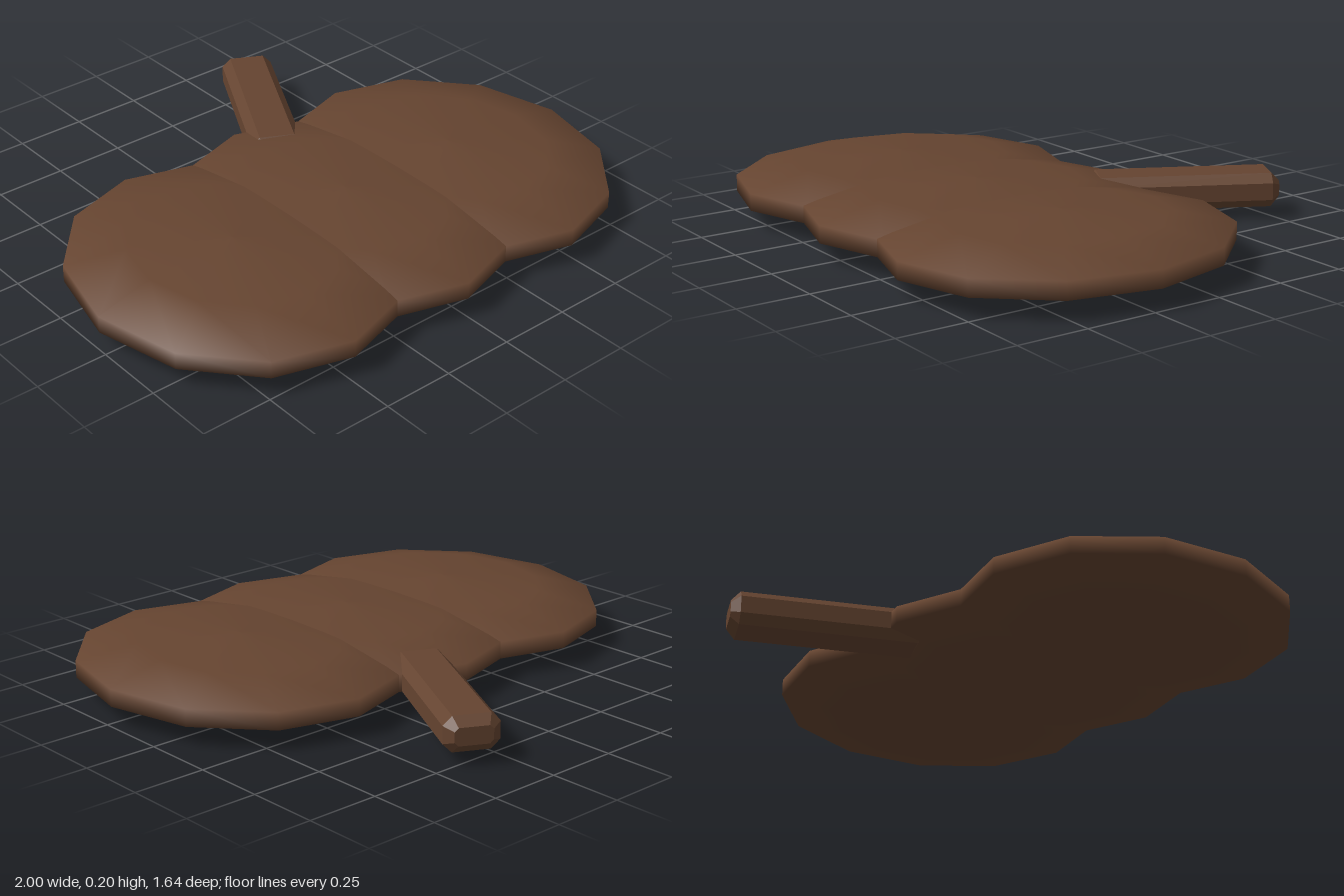
import * as THREE from 'three';

export function createModel() {
  const group = new THREE.Group();
  const brown = new THREE.MeshStandardMaterial({ color: 0x654430 });
  brown.name = 'brown';
  const midY = 0.1;

  // Three overlapping lens-shaped lobes, twelve-sided and smooth
  const profile = [
    [0, -0.1], [0.625, -0.08], [1, -0.03],
    [1, 0.03], [0.625, 0.08], [0, 0.1],
  ].map(([r, y]) => new THREE.Vector2(r, y));
  const lobeGeometry = new THREE.LatheGeometry(profile, 12);
  ['rightLobe', 'middleLobe', 'leftLobe'].forEach((name, i) => {
    const lobe = new THREE.Mesh(lobeGeometry, brown);
    lobe.name = name;
    lobe.scale.set(0.525, 1, 0.6);
    lobe.position.set((i - 1) * 0.475, midY, 0.223);
    group.add(lobe);
  });

  // Slanted stem: a chamfered bar with bevelled ends
  const w = 0.0925, h = 0.06, c = 0.028, bevel = 0.03;
  const a = w - bevel, b = h - bevel, k = c * 0.45;
  const section = new THREE.Shape([
    [a - k, -b], [a, -b + k], [a, b - k], [a - k, b],
    [-a + k, b], [-a, b - k], [-a, -b + k], [-a + k, -b],
  ].map(([x, y]) => new THREE.Vector2(x, y)));
  const length = 0.66;
  const stemGeometry = new THREE.ExtrudeGeometry(section, {
    depth: length - 2 * bevel,
    bevelEnabled: true,
    bevelSegments: 1,
    bevelSize: bevel,
    bevelThickness: bevel,
  });
  stemGeometry.translate(0, 0, bevel);
  const stem = new THREE.Mesh(stemGeometry, brown);
  stem.name = 'stem';
  stem.position.set(0.067, midY, -0.207);
  stem.rotation.y = Math.PI - 0.49;
  group.add(stem);

  return group;
}
